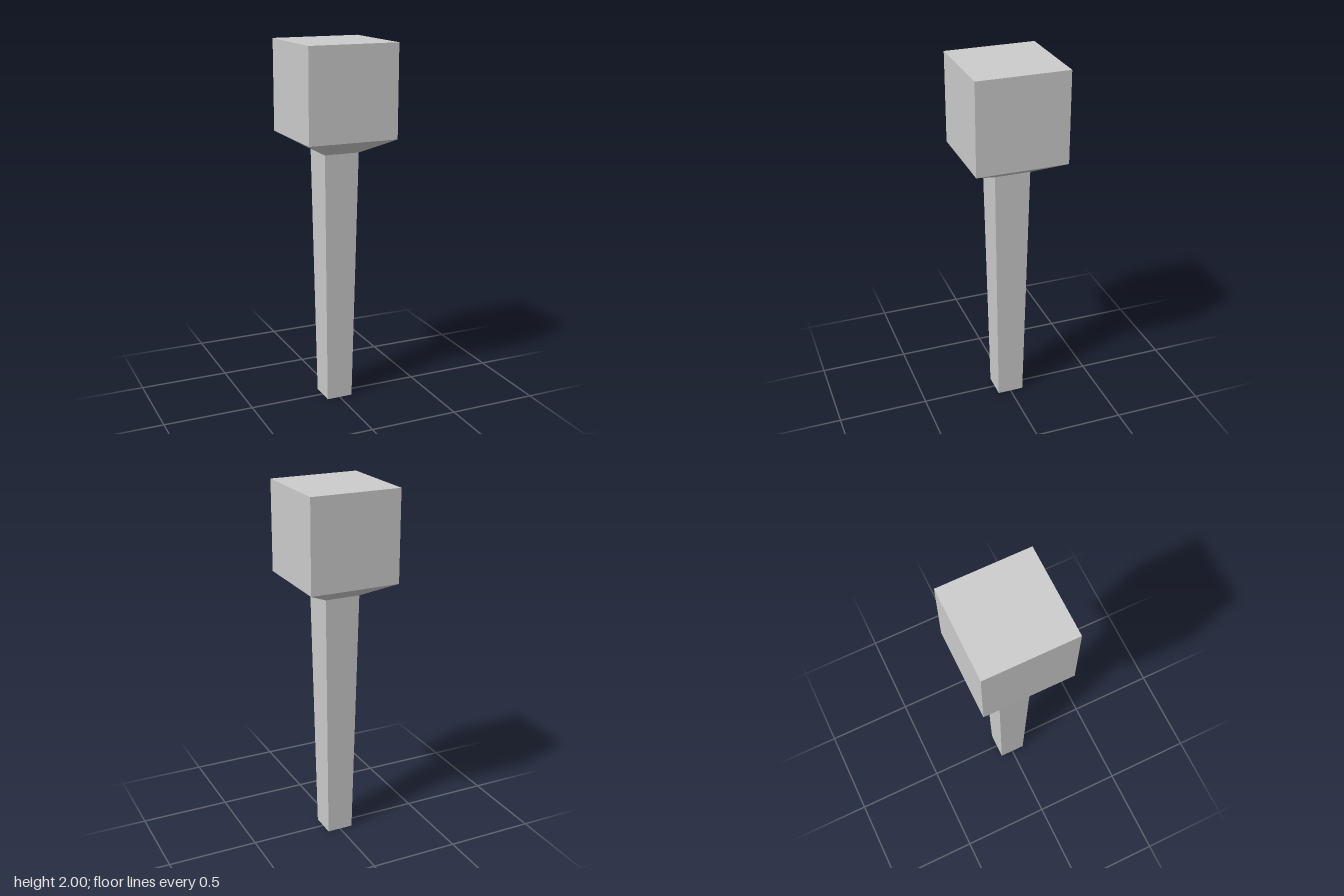
import * as THREE from 'three';

const material = new THREE.MeshStandardMaterial({ color: 0xcccccc, flatShading: true });

// Square frustum given by half-widths at its top and bottom
function squareSection(name, topHalf, bottomHalf, y0, y1, openEnded) {
  const geometry = new THREE.CylinderGeometry(
    topHalf * Math.SQRT2, bottomHalf * Math.SQRT2, y1 - y0, 4, 1, openEnded, Math.PI / 4);
  const mesh = new THREE.Mesh(geometry, material);
  mesh.name = name;
  mesh.position.y = (y0 + y1) / 2;
  return mesh;
}

export function createModel() {
  const model = new THREE.Group();
  model.name = 'taperedLegWithBlock';

  // Tapered leg, closed at the foot
  model.add(squareSection('leg', 0.098, 0.074, 0, 1.415, false));

  // Sloping collar between leg and block
  model.add(squareSection('collar', 0.25, 0.098, 1.415, 1.5, true));

  // Cubic block on top
  const block = new THREE.Mesh(new THREE.BoxGeometry(0.5, 0.5, 0.5), material);
  block.name = 'block';
  block.position.y = 1.75;
  model.add(block);

  return model;
}
